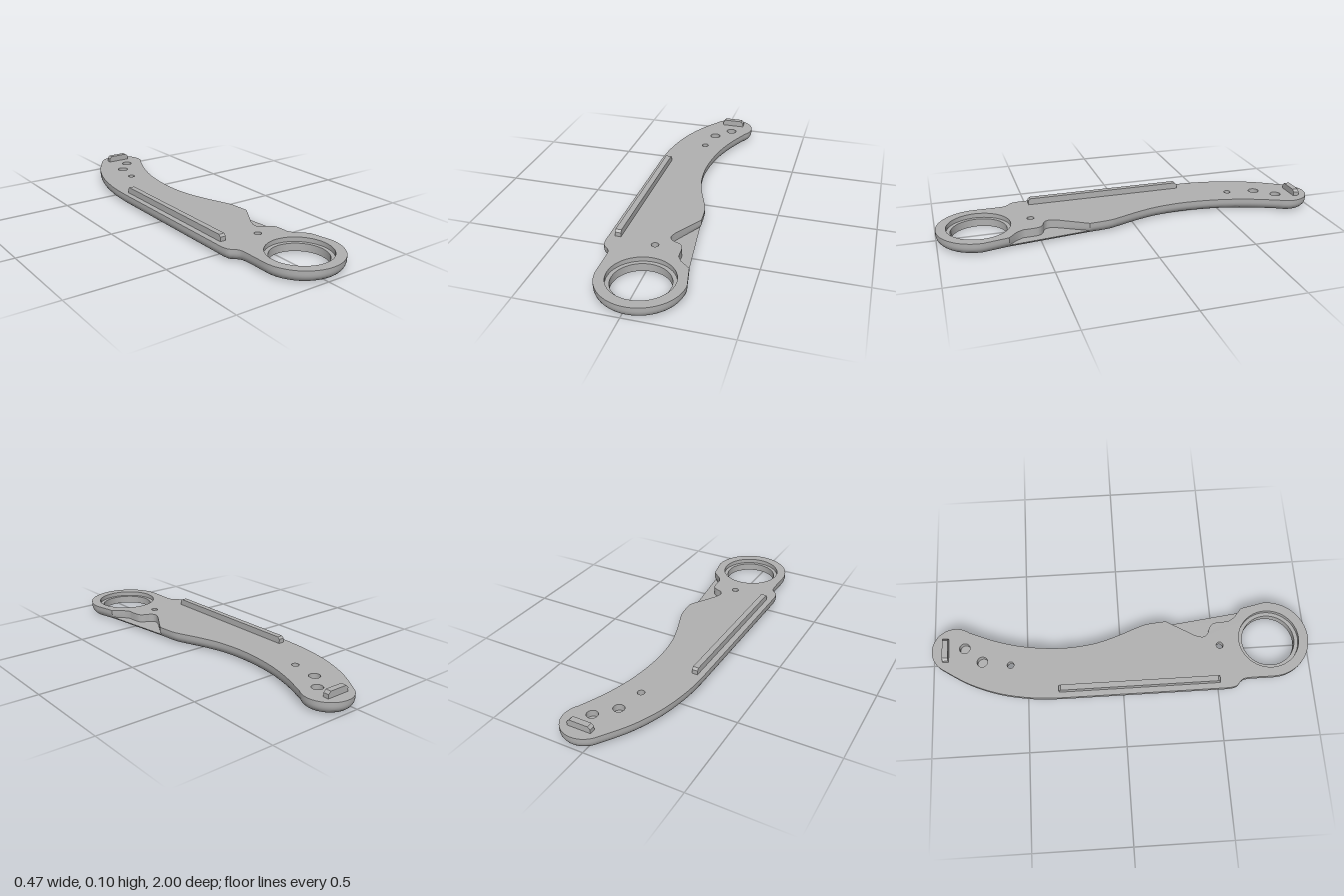
import * as THREE from 'three';
import { mergeGeometries, toCreasedNormals } from 'three/addons/utils/BufferGeometryUtils.js';

const TOP = 0.063, LEDGE = 0.02, FILLET = 0.045;
const V = (x, z) => new THREE.Vector2(x, z); // plan coordinates: x, z

const spline = (pts, n) =>
  new THREE.SplineCurve(pts.map(([x, z]) => V(x, z))).getPoints(n);

function arc(cx, cz, r, a0, a1, n) {
  const pts = [];
  for (let i = 0; i <= n; i++) {
    const a = a0 + ((a1 - a0) * i) / n;
    pts.push(V(cx + r * Math.cos(a), cz - r * Math.sin(a)));
  }
  return pts;
}

// How far the rounded lower edge steps inwards at a given height
function insetAt(y) {
  const d = Math.max(0, FILLET - y);
  return FILLET - Math.sqrt(FILLET * FILLET - d * d);
}

// Outward direction at each point of a closed loop
function outwardNormals(loop) {
  const n = loop.length;
  return loop.map((p, i) => {
    const a = loop[(i + n - 1) % n], b = loop[(i + 1) % n];
    const n1 = V(a.y - p.y, p.x - a.x).normalize();
    const n2 = V(p.y - b.y, b.x - p.x).normalize();
    return n1.add(n2).normalize();
  });
}

// Side wall through a stack of equal loops
function wall(loops, heights) {
  const pos = [], idx = [], n = loops[0].length;
  loops.forEach((loop, k) => loop.forEach((p) => pos.push(p.x, heights[k], p.y)));
  for (let k = 0; k < loops.length - 1; k++) {
    for (let i = 0; i < n; i++) {
      const a = k * n + i, b = k * n + ((i + 1) % n);
      idx.push(a, b, b + n, a, b + n, a + n);
    }
  }
  const g = new THREE.BufferGeometry();
  g.setAttribute('position', new THREE.Float32BufferAttribute(pos, 3));
  g.setIndex(idx);
  return g;
}

// Flat horizontal face with round holes [x, z, radius]
function cap(points, holes, y, up) {
  const s = up ? -1 : 1;
  const shape = new THREE.Shape(points.map((p) => V(p.x, s * p.y)));
  for (const [x, z, r] of holes) {
    shape.holes.push(new THREE.Path().absarc(x, s * z, r, 0, Math.PI * 2, true));
  }
  const g = new THREE.ShapeGeometry(shape, 24);
  g.rotateX((s * Math.PI) / 2).translate(0, y, 0);
  g.deleteAttribute('uv');
  g.deleteAttribute('normal');
  return g;
}

// Inner surface of a stepped hole, profile listed from the top down
function bore(profile) {
  const parts = [];
  for (let i = 0; i < profile.length - 1; i++) {
    parts.push(new THREE.LatheGeometry([V(...profile[i]), V(...profile[i + 1])], 48));
  }
  return mergeGeometries(parts);
}

// Bar with chamfered upper ends, running along x
function rail(length, chamfer) {
  const h = length / 2, t = 0.033;
  const s = new THREE.Shape([
    V(-h, 0), V(h, 0), V(h, t - chamfer), V(h - chamfer, t), V(chamfer - h, t), V(-h, t - chamfer),
  ]);
  return new THREE.ExtrudeGeometry(s, { depth: 0.03, bevelEnabled: false }).translate(0, 0, -0.015);
}

export function createModel() {
  const group = new THREE.Group();
  const grey = new THREE.MeshStandardMaterial({ color: 0xb0b0b0 });
  grey.name = 'grey';
  const add = (name, geometry, x = 0, y = 0, z = 0) => {
    const m = new THREE.Mesh(geometry, grey);
    m.name = name;
    m.position.set(x, y, z);
    group.add(m);
    return m;
  };

  // Outline: inner curve, tip, back curve, finger ring
  const shared = [
    ...spline([[0.156, 0.25], [0.146, 0.145], [0.125, 0.08], [0.082, -0.035], [0.05, -0.157],
      [0.038, -0.316], [0.056, -0.5], [0.098, -0.66], [0.157, -0.804]], 48),
    ...arc(0.06, -0.878, 0.122, -0.65, 2.5, 28).slice(1),
    ...spline([[-0.038, -0.951], [-0.13, -0.803], [-0.193, -0.644], [-0.227, -0.475], [-0.236, -0.33]], 32).slice(1),
    ...spline([[-0.236, 0.55], [-0.228, 0.59], [-0.203, 0.615], [-0.188, 0.65], [-0.187, 0.78]], 20),
    ...arc(0.023, 0.79, 0.21, Math.PI, Math.PI * 2, 40).slice(1),
    V(0.207, 0.663),
  ];
  const notch = [
    V(0.156, 0.62),
    ...spline([[0.135, 0.585], [0.13, 0.51], [0.108, 0.483], [0.071, 0.467], [0.055, 0.44], [0.066, 0.4]], 24),
  ];
  const normals = outwardNormals(shared);
  const lowerLoop = (y) => shared.map((p, i) => p.clone().addScaledVector(normals[i], -insetAt(y)));
  const upperLoop = (y) => [...lowerLoop(y), ...notch];

  // Holes
  const ring = [0.023, 0.79];
  const screws = [[-0.04, -0.585], [0.002, 0.525]];
  const sockets = [[-0.014, -0.733], [0.067, -0.826]];
  const topHoles = [[...ring, 0.16], ...screws.map((p) => [...p, 0.018]), ...sockets.map((p) => [...p, 0.028])];
  const bottomHoles = [[...ring, 0.14], ...screws.map((p) => [...p, 0.036])];

  // Body with rounded lower edge and a thin ledge beneath the notch
  const lowY = [0, 0.0008, 0.003, 0.007, 0.013, LEDGE];
  const highY = [LEDGE, 0.028, 0.036, FILLET, TOP];
  const ledgeEdge = lowerLoop(LEDGE);
  const body = mergeGeometries([
    wall(lowY.map(lowerLoop), lowY),
    wall(highY.map(upperLoop), highY),
    cap(upperLoop(TOP), topHoles, TOP, true),
    cap(lowerLoop(0), bottomHoles, 0, false),
    cap([ledgeEdge[ledgeEdge.length - 1], ...notch, ledgeEdge[0]], [], LEDGE, true),
  ].map((g) => (g.index ? g.toNonIndexed() : g)));
  add('handleBody', toCreasedNormals(body, 0.6));

  // Hole linings
  add('fingerRingBore', bore([[0.16, TOP], [0.16, 0.04], [0.14, 0.04], [0.14, 0]]), ring[0], 0, ring[1]);
  for (const [x, z] of screws) {
    add('screwHole', bore([[0.018, TOP], [0.018, 0.03], [0.036, 0.03], [0.036, 0]]), x, 0, z);
  }
  for (const [x, z] of sockets) {
    add('blindSocket', bore([[0.028, TOP], [0.028, 0.03], [0, 0.03]]), x, 0, z);
  }

  // Raised locating rails
  add('tipRail', rail(0.125, 0.013), 0.0585, TOP, -0.925);
  add('longRail', rail(0.84, 0.011), -0.19, TOP, 0.085).rotation.y = Math.PI / 2;

  return group;
}
